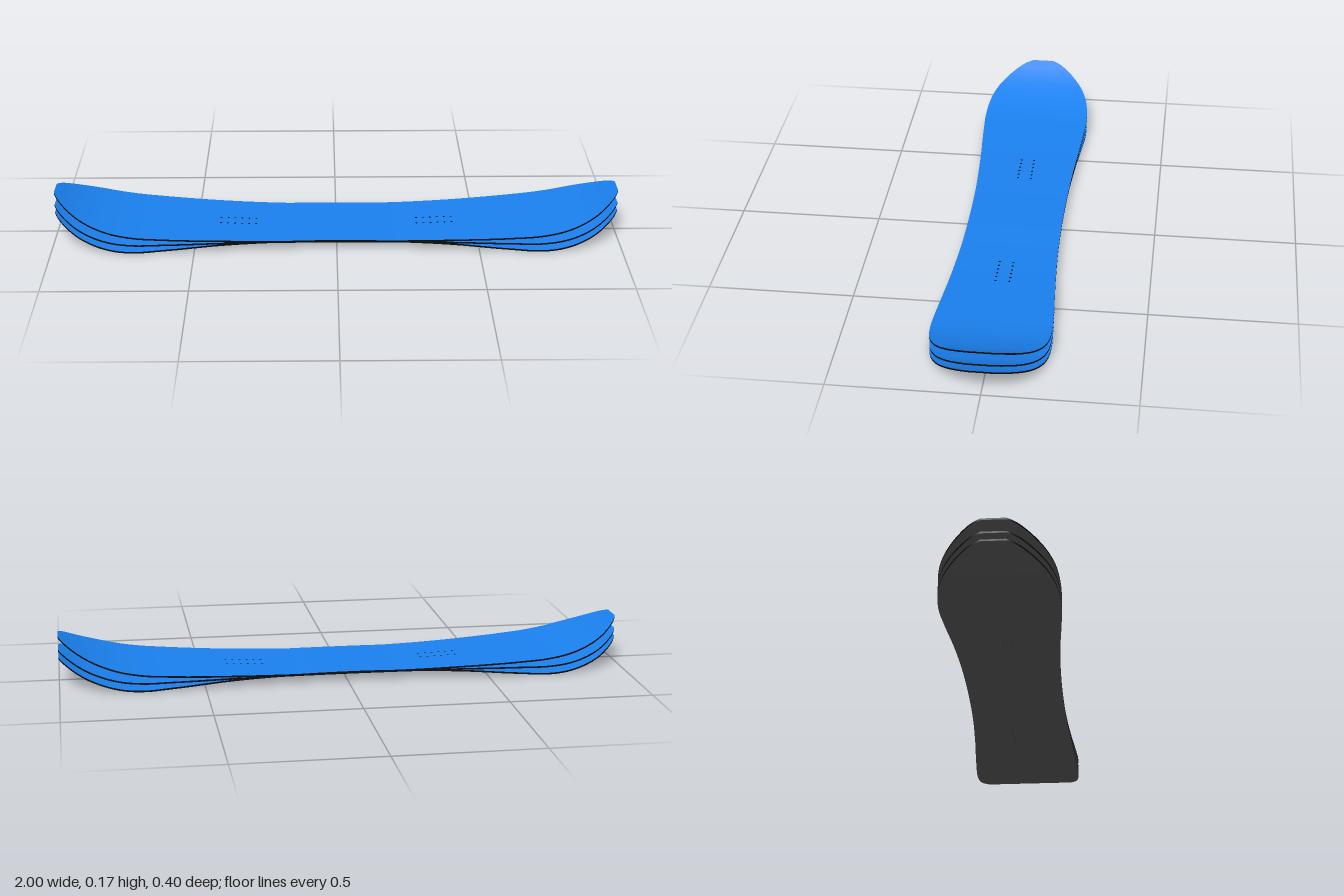
import * as THREE from 'three';
import { mergeGeometries } from 'three/addons/utils/BufferGeometryUtils.js';

const THICK = 0.006, STRIP = 0.025, SUB = 5, STRIPS = 80;
const HOLE_R = 0.004, HOLE_Z = 0.024;

// Smooth even function of x through [x, value] points for x in 0..1
function evenCurve(points) {
  const c = new THREE.CubicInterpolant(points.map(p => p[0]), points.map(p => p[1]), 1, [0]);
  c.settings = { endingStart: THREE.ZeroSlopeEnding, endingEnd: THREE.ZeroCurvatureEnding };
  return x => c.evaluate(Math.min(1, Math.abs(x)))[0];
}

// Half width of the board, with sidecut and rounded tips
const halfWidth = evenCurve([[0, 0.168], [0.2, 0.171], [0.4, 0.18], [0.6, 0.193], [0.72, 0.198],
  [0.8, 0.192], [0.85, 0.18], [0.91, 0.15], [0.965, 0.1], [0.99, 0.064], [1, 0.04]]);

// Upturn of nose and tail, shared by all boards
const kick = evenCurve([[0, 0], [0.4, 0], [0.62, 0], [0.72, 0.001], [0.8, 0.01], [0.9, 0.038], [0.95, 0.06], [1, 0.088]]);

// Bend of each board, added to the upturn
const bends = {
  camberBoard: evenCurve([[0, 0.003], [0.2, 0.001], [0.4, -0.006], [0.6, -0.02], [0.72, -0.027], [0.85, -0.028], [1, -0.028]]),
  flatBoard: () => 0,
  rockerBoard: evenCurve([[0, 0.001], [0.2, 0.002], [0.4, 0.008], [0.6, 0.019], [0.8, 0.035], [1, 0.047]]),
};

const blue = new THREE.MeshStandardMaterial({ color: 0x1a80ee });
const dark = new THREE.MeshStandardMaterial({ color: 0x555555 });
const black = new THREE.MeshStandardMaterial({ color: 0x080808 });
const blackInside = new THREE.MeshStandardMaterial({ color: 0x080808, side: THREE.DoubleSide });

// Centres of the binding insert holes: two rows of six under each foot
const holes = [];
for (const side of [-1, 1]) {
  for (let i = 0; i < 6; i++) {
    for (const row of [-1, 1]) holes.push([side * (0.2875 + i * STRIP), row * HOLE_Z]);
  }
}

// Flat board outline, cut in strips across so that it can bend
function flatSheet() {
  const strips = [];
  for (let s = 0; s < STRIPS; s++) {
    const x0 = -1 + s * STRIP, near = [], far = [];
    for (let i = 0; i <= SUB; i++) {
      const x = x0 + i * STRIP / SUB, w = halfWidth(x);
      near.push(new THREE.Vector2(x, -w));
      far.unshift(new THREE.Vector2(x, w));
    }
    const shape = new THREE.Shape([...near, ...far]);
    for (const [hx, hz] of holes) {
      if (hx > x0 && hx < x0 + STRIP) {
        shape.holes.push(new THREE.Path().absarc(hx, hz, HOLE_R, 0, Math.PI * 2, true));
      }
    }
    strips.push(new THREE.ShapeGeometry(shape, 5));
  }
  return mergeGeometries(strips);
}

// Lift every vertex by the board's side profile, with normals to match
function bendSheet(geo, height, dir) {
  const p = geo.attributes.position, n = geo.attributes.normal;
  for (let i = 0; i < p.count; i++) {
    const x = p.getX(i), a = Math.max(-1, x - 0.005), b = Math.min(1, x + 0.005);
    const slope = (height(b) - height(a)) / (b - a), len = Math.hypot(slope, 1) * dir;
    p.setY(i, height(x) + (dir > 0 ? THICK : 0));
    n.setXYZ(i, -slope / len, 1 / len, 0);
  }
  return geo;
}

// Thin wall running round the outline
function edgeWall(height) {
  const outline = [], count = STRIPS * SUB;
  for (let i = 0; i <= count; i++) {
    const x = -1 + 2 * i / count;
    outline.push([x, halfWidth(x)]);
  }
  for (let i = count; i >= 0; i--) outline.push([outline[i][0], -outline[i][1]]);
  const pos = [], index = [], n = outline.length;
  outline.forEach(([x, z], i) => {
    const y = height(x), a = 2 * i, b = 2 * ((i + 1) % n);
    pos.push(x, y, z, x, y + THICK, z);
    index.push(a, b, b + 1, a, b + 1, a + 1);
  });
  const geo = new THREE.BufferGeometry();
  geo.setAttribute('position', new THREE.Float32BufferAttribute(pos, 3));
  geo.setIndex(index);
  geo.computeVertexNormals();
  return geo;
}

// Walls of the insert holes
function holeWalls(height) {
  return mergeGeometries(holes.map(([x, z]) =>
    new THREE.CylinderGeometry(HOLE_R, HOLE_R, THICK, 10, 1, true).translate(x, height(x) + THICK / 2, z)));
}

function part(name, geo, material) {
  const mesh = new THREE.Mesh(geo, material);
  mesh.name = name;
  return mesh;
}

export function createModel() {
  const model = new THREE.Group();
  model.name = 'snowboards';
  const sheet = flatSheet();
  for (const [name, bend] of Object.entries(bends)) {
    const height = x => Math.max(0, 0.026 + kick(x) + bend(x));
    const board = new THREE.Group();
    board.name = name;
    board.add(
      part('deck', bendSheet(sheet.clone().rotateX(-Math.PI / 2), height, 1), blue),
      part('base', bendSheet(sheet.clone().rotateX(Math.PI / 2), height, -1), dark),
      part('edge', edgeWall(height), black),
      part('insertHoles', holeWalls(height), blackInside),
    );
    model.add(board);
  }
  return model;
}
